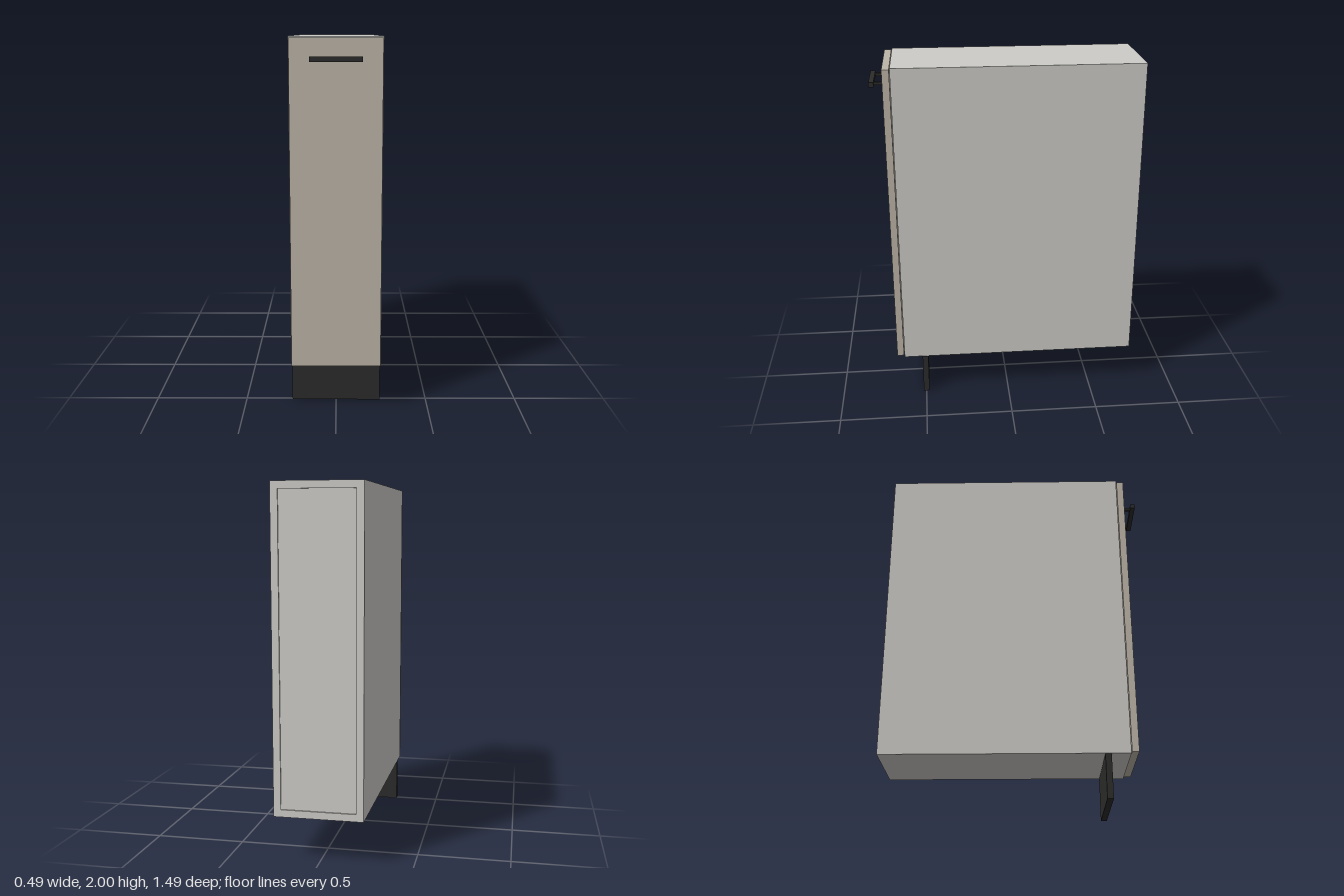
import * as THREE from 'three';

export function createModel() {
  const model = new THREE.Group();
  model.name = 'baseCabinet';
  const paint = (color) => new THREE.MeshStandardMaterial({ color });
  const carcassMat = paint(0xcdccc8);
  const doorMat = paint(0xbdb5a8);
  const darkMat = paint(0x2c2c2b);

  // Box given by its lower and upper corners
  function panel(parent, name, mat, [x0, y0, z0], [x1, y1, z1]) {
    const mesh = new THREE.Mesh(new THREE.BoxGeometry(x1 - x0, y1 - y0, z1 - z0), mat);
    mesh.position.set((x0 + x1) / 2, (y0 + y1) / 2, (z0 + z1) / 2);
    mesh.name = name;
    parent.add(mesh);
    return mesh;
  }

  // Carcass: hollow box with a slightly recessed back
  const W = 0.243, T = 0.04, Y0 = 0.247, Y1 = 2, ZB = -0.743, ZF = 0.622;
  const carcass = new THREE.Group();
  carcass.name = 'carcass';
  model.add(carcass);
  panel(carcass, 'leftSide', carcassMat, [W - T, Y0, ZB], [W, Y1, ZF]);
  panel(carcass, 'rightSide', carcassMat, [-W, Y0, ZB], [-W + T, Y1, ZF]);
  panel(carcass, 'bottomPanel', carcassMat, [-W + T, Y0, ZB], [W - T, Y0 + T, ZF]);
  panel(carcass, 'topPanel', carcassMat, [-W + T, Y1 - T, ZB], [W - T, Y1, ZF]);
  panel(carcass, 'backPanel', carcassMat, [-W + T, Y0 + T, ZB + 0.008], [W - T, Y1 - T, ZB + 0.02]);

  // Door, with a thin gap to the carcass
  panel(model, 'door', doorMat, [-0.239, 0.257, 0.626], [0.239, 1.993, 0.665]);

  // Bar handle on two posts
  const handle = new THREE.Group();
  handle.name = 'handle';
  model.add(handle);
  panel(handle, 'handleBar', darkMat, [-0.133, 1.874, 0.716], [0.133, 1.9, 0.743]);
  for (const x of [-0.098, 0.098]) {
    panel(handle, 'handlePost', darkMat, [x - 0.008, 1.879, 0.665], [x + 0.008, 1.895, 0.716]);
  }

  // Plinth set back under the cabinet
  panel(model, 'plinth', darkMat, [-W, 0, 0.482], [W, Y0 - 0.003, 0.516]);

  return model;
}
